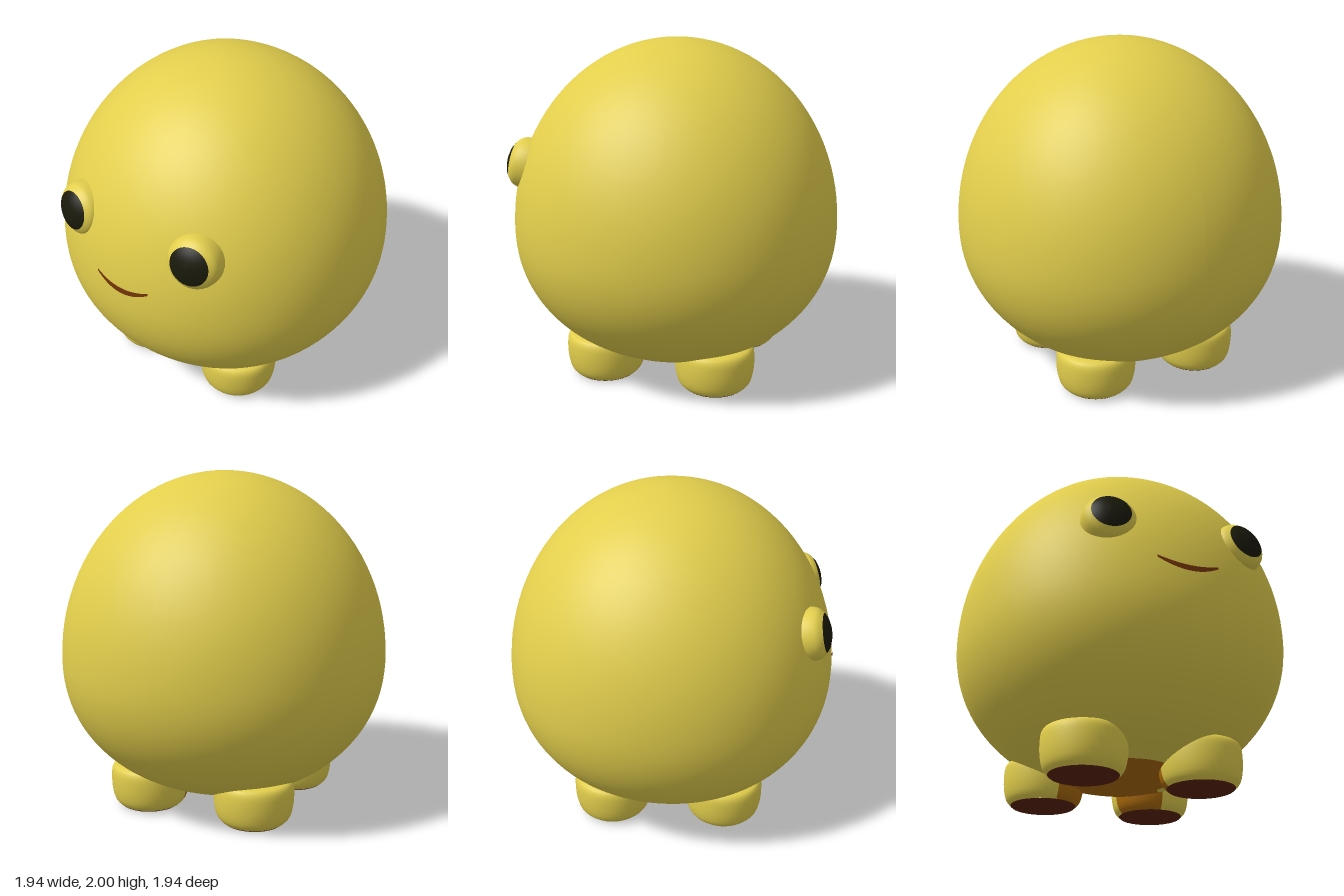
import * as THREE from 'three';

const mat = (name, color) => {
  const m = new THREE.MeshStandardMaterial({ color });
  m.name = name;
  return m;
};

// Egg-shaped body: radius at a given height
const MID = 0.9, BOTTOM = 0.06, TOP = 2;
function bodyRadius(y) {
  const upper = y > MID;
  const t = Math.min(1, Math.abs(y - MID) / (upper ? TOP - MID : MID - BOTTOM));
  return 0.97 * Math.sqrt(Math.max(0, 1 - Math.pow(t, upper ? 2 : 2.15)));
}

// Edge of the belly patch: an angle from straight down, widest towards the feet
function patchEdge(theta) {
  const c = Math.cos(theta), diagonal = Math.sin(2 * theta) ** 2;
  const side = c * c * (c > 0 ? 0.4 : 0.27) + (1 - c * c) * 0.24;
  return diagonal * 0.42 + (1 - diagonal) * side;
}

// Band of the body surface; from and to give its limits around the body
function bodyBand(steps, from, to) {
  const geometry = new THREE.PlaneGeometry(2, 1, 96, steps);
  const p = geometry.attributes.position;
  for (let i = 0; i < p.count; i++) {
    const theta = p.getX(i) * Math.PI, v = p.getY(i) + 0.5;
    const a = from(theta) + (to(theta) - from(theta)) * v;
    const c = -Math.cos(a);
    const y = MID + c * (c > 0 ? TOP - MID : MID - BOTTOM);
    // Slightly fuller on the diagonals
    const r = bodyRadius(y) * (1 + 0.012 * Math.sin(2 * theta) ** 2);
    p.setXYZ(i, r * Math.sin(theta), y, r * Math.cos(theta));
  }
  geometry.computeVertexNormals();
  return geometry;
}

const points = (list) => list.map(([x, y]) => new THREE.Vector2(x, y));

export function createModel() {
  const yellow = mat('yellow', 0xe2ce4c);
  const orange = mat('orange', 0xac6a08);
  const brown = mat('brown', 0x5c2410);
  const red = mat('reddishBrown', 0x733409);
  const black = mat('black', 0x1a190b);
  const model = new THREE.Group();
  model.name = 'roundCreature';

  const add = (parent, name, geometry, material) => {
    const mesh = new THREE.Mesh(geometry, material);
    mesh.name = name;
    parent.add(mesh);
  };

  // Body with an orange patch underneath
  add(model, 'body', bodyBand(48, patchEdge, () => Math.PI), yellow);
  add(model, 'belly', bodyBand(8, () => 0, patchEdge), orange);

  // Four stubby feet with brown soles and orange inner sides
  const wall = new THREE.SplineCurve(points([
    [0.19, 0.012], [0.217, 0.045], [0.232, 0.11], [0.235, 0.19], [0.226, 0.24], [0.195, 0.262], [0.1, 0.27],
  ])).getPoints(18);
  const sole = points([[0, 0], [0.15, 0], [0.18, 0.004], [0.19, 0.012]]);
  for (const sx of [1, -1]) {
    for (const sz of [1, -1]) {
      const foot = new THREE.Group();
      foot.name = (sz > 0 ? 'front' : 'back') + (sx > 0 ? 'Left' : 'Right') + 'Foot';
      foot.position.set(sx * 0.342, 0, sz * 0.342);
      const inward = Math.atan2(-sx, -sz), half = 0.7;
      add(foot, 'footInnerSide', new THREE.LatheGeometry(wall, 10, inward - half, 2 * half), orange);
      add(foot, 'footWall', new THREE.LatheGeometry(wall, 30, inward + half, 2 * Math.PI - 2 * half), yellow);
      add(foot, 'sole', new THREE.LatheGeometry(sole, 40), brown);
      model.add(foot);
    }
  }

  // Bulging eyes, tilted slightly up and outward
  const rim = new THREE.SplineCurve(points([
    [0.14, -0.12], [0.153, -0.04], [0.153, 0.02], [0.14, 0.07], [0.11, 0.1],
  ])).getPoints(16);
  const pupil = points([[0.11, 0.1], [0.083, 0.116], [0.045, 0.127], [0, 0.131]]);
  for (const s of [1, -1]) {
    const eye = new THREE.Group();
    eye.name = s > 0 ? 'leftEye' : 'rightEye';
    eye.position.set(s * 0.386, 1.277, 0.782);
    const axis = new THREE.Vector3(s * 0.19, 0.21, 0.95).normalize();
    eye.quaternion.setFromUnitVectors(new THREE.Vector3(0, 1, 0), axis);
    add(eye, 'eyeRim', new THREE.LatheGeometry(rim, 36), yellow);
    add(eye, 'pupil', new THREE.LatheGeometry(pupil, 36), black);
    model.add(eye);
  }

  // Smile: a thin crescent laid on the body surface
  const smile = new THREE.PlaneGeometry(2, 1, 24, 2);
  const p = smile.attributes.position;
  for (let i = 0; i < p.count; i++) {
    const u = p.getX(i), v = p.getY(i);
    const x = u * 0.178;
    const y = 0.992 + 0.046 * u * u + v * (0.014 + 0.02 * (1 - u * u));
    p.setXYZ(i, x, y, Math.sqrt(bodyRadius(y) ** 2 - x * x) + 0.005);
  }
  smile.computeVertexNormals();
  add(model, 'mouth', smile, red);

  return model;
}
